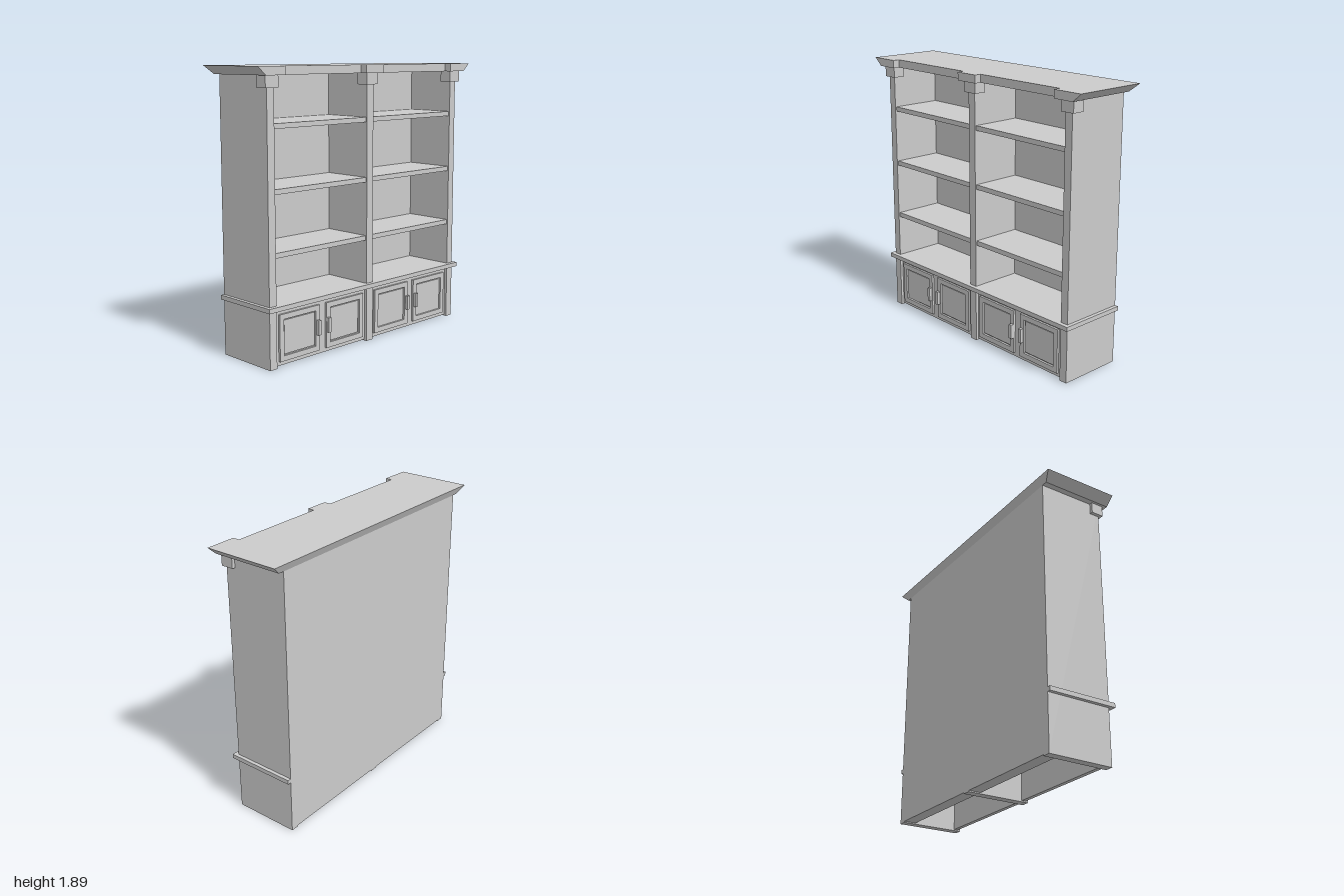
import * as THREE from 'three';

const material = new THREE.MeshStandardMaterial({ color: 0xcccccc, flatShading: true });

export function createModel() {
  const root = new THREE.Group();
  root.name = 'bookcase';

  // Box given by its lower and upper limits on each axis
  function box(name, x0, x1, y0, y1, z0, z1) {
    const mesh = new THREE.Mesh(new THREE.BoxGeometry(x1 - x0, y1 - y0, Math.abs(z1 - z0)), material);
    mesh.position.set((x0 + x1) / 2, (y0 + y1) / 2, (z0 + z1) / 2);
    mesh.name = name;
    root.add(mesh);
  }

  const BACK = -0.24, FRONT = 0.22, INNER = -0.15, TOP = 1.84;

  // Uprights: two sides and the centre divider
  box('leftSide', BACK, FRONT, 0, TOP, 0.84, 0.897);
  box('rightSide', BACK, FRONT, 0, TOP, -0.897, -0.84);
  box('divider', BACK, FRONT, 0, TOP, -0.03, 0.03);

  // Thick back, counter, shelves and lower front in each bay
  box('counter', BACK, 0.25, 0.38, 0.41, -0.922, 0.922);
  for (const s of [-1, 1]) {
    const z0 = s * 0.03, z1 = s * 0.84;
    box('backPanel', BACK, INNER, 0.008, TOP, z0, z1);
    for (const y of [0.71, 1.11, 1.515]) box('shelf', INNER, 0.21, y, y + 0.033, z0, z1);
    box('lowerFront', 0.17, 0.2, 0.008, 0.38, z0, z1);
  }

  // Framed doors with a sunken panel, and a handle on the meeting side
  function rect(Type, w, h) {
    return new Type([[-w, -h], [w, -h], [w, h], [-w, h]].map(([a, b]) => new THREE.Vector2(a / 2, b / 2)));
  }
  const frameShape = rect(THREE.Shape, 0.345, 0.31);
  frameShape.holes.push(rect(THREE.Path, 0.275, 0.24));
  const frameGeometry = new THREE.ExtrudeGeometry(frameShape, { depth: 0.015, bevelEnabled: false });
  frameGeometry.rotateY(Math.PI / 2);
  for (const s of [-1, 1]) {
    for (const z of [0.232, 0.637]) {
      const frame = new THREE.Mesh(frameGeometry, material);
      frame.position.set(0.2, 0.19, s * z);
      frame.name = 'doorFrame';
      root.add(frame);
      box('doorPanel', 0.2, 0.207, 0.078, 0.302, s * (z - 0.13), s * (z + 0.13));
    }
    for (const z of [0.391, 0.482]) box('handle', 0.205, 0.237, 0.145, 0.245, s * (z - 0.012), s * (z + 0.012));
  }

  // Corbels under the crown
  for (const z of [-0.869, 0, 0.869]) box('corbel', 0.15, 0.237, 1.765, TOP, z - 0.051, z + 0.051);

  // Crown: stepped along the front, flared at both ends and the back
  const half = [[0.265, 0.085], [0.217, 0.085], [0.217, 0.785], [0.265, 0.785], [0.265, 1], [-0.267, 1]];
  const outline = [...half, ...half.map(([x, z]) => [x, -z]).reverse()];
  const crownShape = new THREE.Shape(outline.map(([x, z]) => new THREE.Vector2(x, z)));
  const crownGeometry = new THREE.ExtrudeGeometry(crownShape, { depth: 0.055, bevelEnabled: false });
  crownGeometry.rotateX(-Math.PI / 2);
  const p = crownGeometry.attributes.position;
  for (let i = 0; i < p.count; i++) {
    if (p.getY(i) > 0.02) continue;
    if (Math.abs(p.getZ(i)) > 0.9) p.setZ(i, Math.sign(p.getZ(i)) * 0.937);
    if (p.getX(i) < 0) p.setX(i, BACK);
  }
  crownGeometry.computeVertexNormals();
  const crown = new THREE.Mesh(crownGeometry, material);
  crown.position.y = TOP;
  crown.name = 'crown';
  root.add(crown);

  return root;
}
